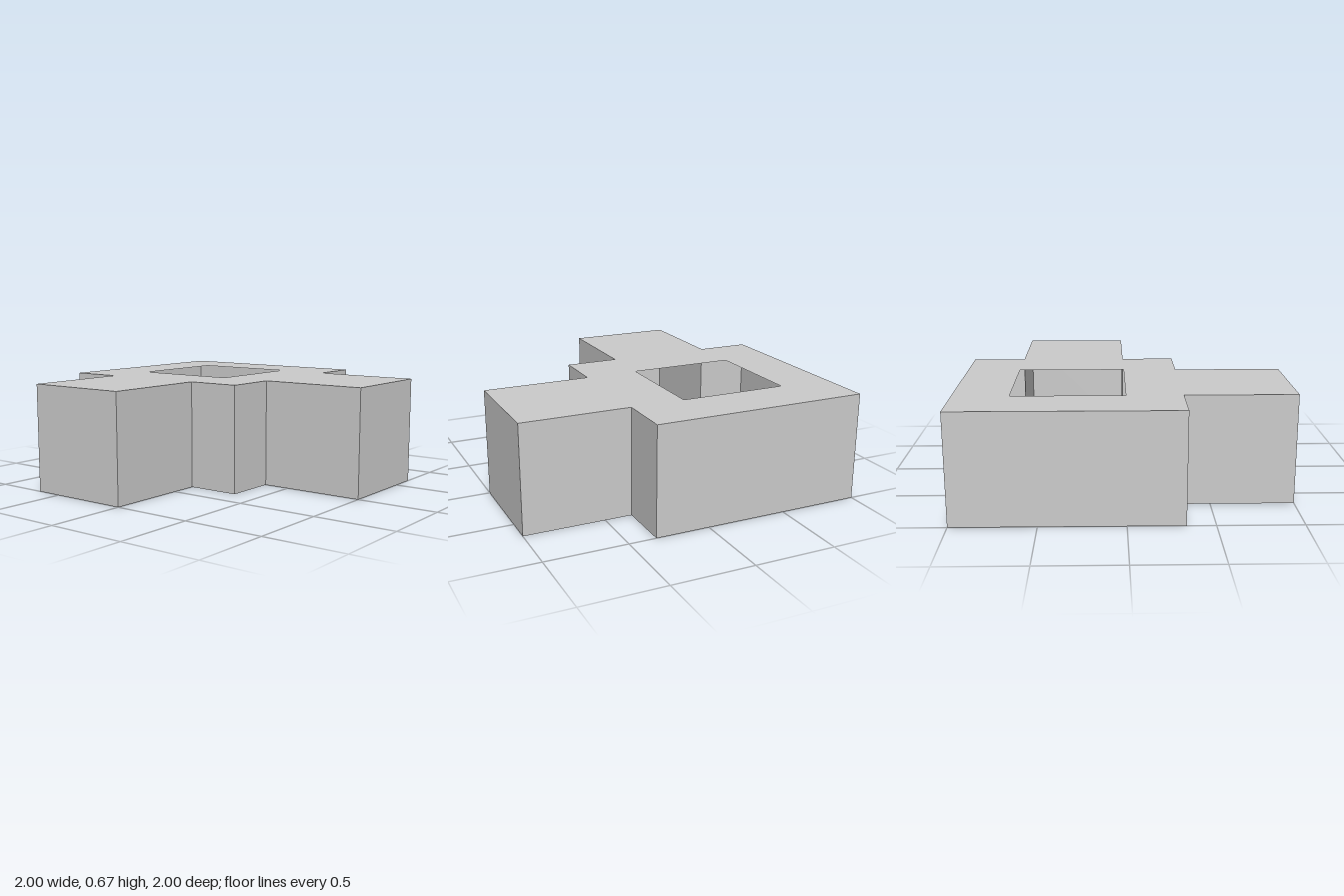
import * as THREE from 'three';
import { mergeGeometries } from 'three/addons/utils/BufferGeometryUtils.js';

const U = 1 / 3; // grid unit
const HEIGHT = 2 * U;

// Floor plan as [x, z] in grid units: square body with a side arm and a front arm
const PLAN = [
  [-1, -3], [3, -3], [3, 1], [2, 1], [2, 3], [0, 3],
  [0, 1], [-1, 1], [-1, 0], [-3, 0], [-3, -2], [-1, -2],
];
const OPENING = [[0, -2], [2, -2], [2, 0], [0, 0]];

const points = (loop, zSign) => loop.map(([x, z]) => new THREE.Vector2(x * U, zSign * z * U));

// Flat horizontal sheet at height y, facing up or down
function sheet(loop, hole, y, up) {
  const zSign = up ? -1 : 1;
  const shape = new THREE.Shape(points(loop, zSign));
  if (hole) shape.holes.push(new THREE.Path(points(hole, zSign)));
  return new THREE.ShapeGeometry(shape).rotateX(zSign * Math.PI / 2).translate(0, y, 0);
}

// Upright panels along a closed loop, from y = 0 up to height
function walls(loop, height) {
  return mergeGeometries(loop.map(([x0, z0], i) => {
    const [x1, z1] = loop[(i + 1) % loop.length];
    const dx = x1 - x0, dz = z1 - z0;
    return new THREE.PlaneGeometry(Math.hypot(dx, dz) * U, height)
      .rotateY(Math.atan2(dz, -dx))
      .translate((x0 + x1) * U / 2, height / 2, (z0 + z1) * U / 2);
  }));
}

export function createModel() {
  const group = new THREE.Group();
  const material = new THREE.MeshStandardMaterial({
    color: 0xcccccc, flatShading: true, side: THREE.DoubleSide,
  });
  const add = (name, geometry) => {
    const mesh = new THREE.Mesh(geometry, material);
    mesh.name = name;
    group.add(mesh);
  };

  // Hollow thin shell, open through the top
  add('outerWalls', walls(PLAN, HEIGHT));
  add('topSheet', sheet(PLAN, OPENING, HEIGHT, true));
  add('bottomSheet', sheet(PLAN, OPENING, 0, false));

  // Square pocket pushed up from the underside to half height
  add('pocketWalls', walls([...OPENING].reverse(), HEIGHT / 2));
  add('pocketCeiling', sheet(OPENING, null, HEIGHT / 2, false));

  return group;
}
